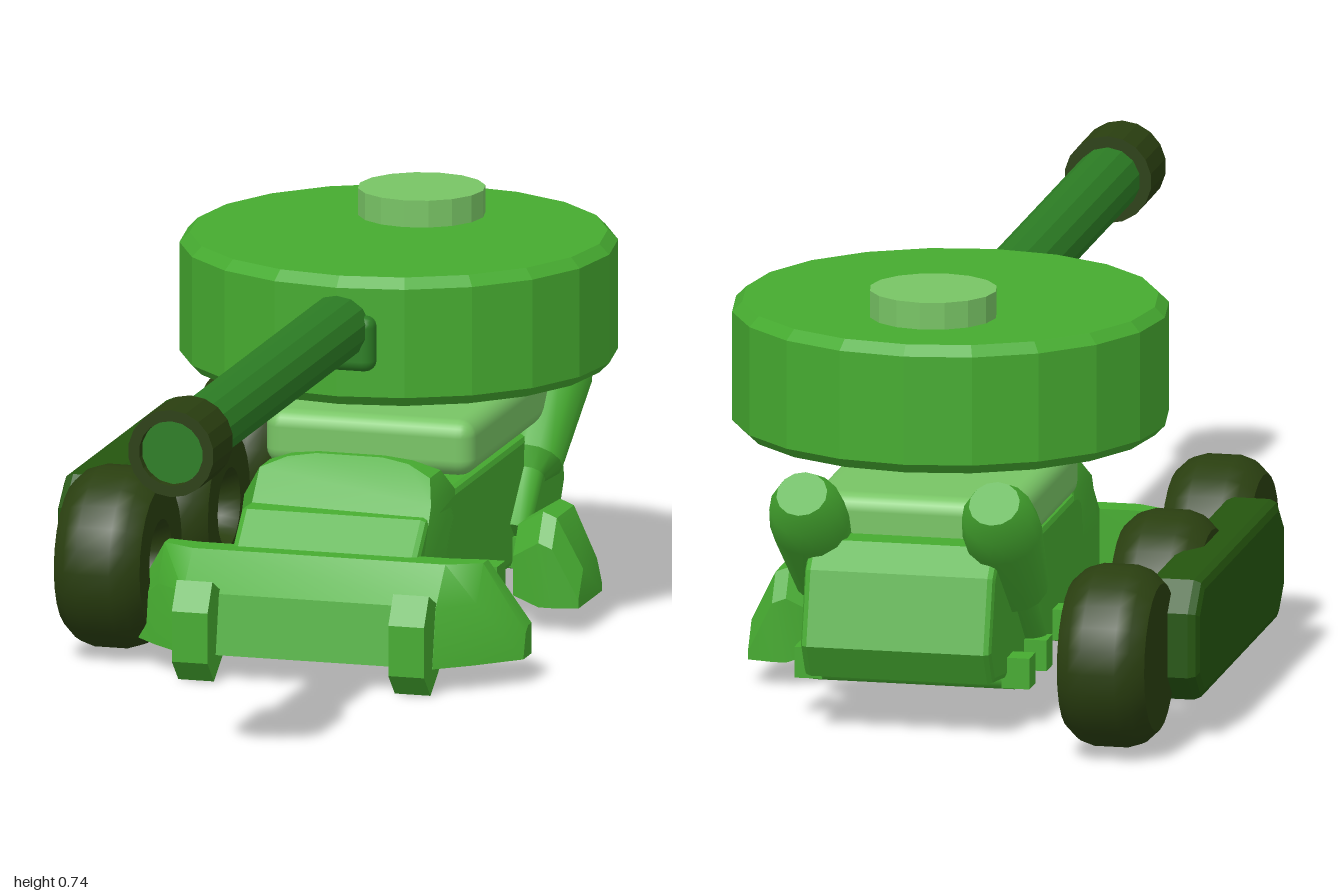
import * as THREE from 'three';
import { toCreasedNormals } from 'three/addons/utils/BufferGeometryUtils.js';
import { RoundedBoxGeometry } from 'three/addons/geometries/RoundedBoxGeometry.js';

const CX = 0.07; // centre line of the hull

const paint = (name, color) => {
  const m = new THREE.MeshStandardMaterial({ color });
  m.name = name;
  return m;
};

export function createModel() {
  const group = new THREE.Group();
  const green = paint('armour green', 0x46ab30);
  const light = paint('light green', 0x78c465);
  const barrelGreen = paint('barrel green', 0x2c7d24);
  const beamGreen = paint('beam green', 0x25560f);
  const dark = paint('dark olive', 0x2a3f10);

  const add = (name, geo, mat, x = 0, y = 0, z = 0) => {
    const mesh = new THREE.Mesh(geo, mat);
    mesh.name = name;
    mesh.position.set(x, y, z);
    group.add(mesh);
    return mesh;
  };
  const box = (name, mat, w, h, d, x, y, z) => add(name, new THREE.BoxGeometry(w, h, d), mat, x, y, z);
  // Turned part; crease angle decides between faceted and smooth
  const turned = (pts, sides, crease = 0.2) =>
    toCreasedNormals(new THREE.LatheGeometry(pts.map(p => new THREE.Vector2(...p)), sides), crease);
  // Outline in (z, y) extruded along x, centred on x = 0
  const slab = (pts, width, bevel = 0) => {
    const depth = width - 2 * bevel;
    const geo = new THREE.ExtrudeGeometry(new THREE.Shape(pts.map(p => new THREE.Vector2(...p))), {
      depth, bevelEnabled: bevel > 0, bevelSize: bevel, bevelOffset: -bevel, bevelThickness: bevel, bevelSegments: 2,
    });
    return geo.translate(0, 0, -depth / 2).rotateY(-Math.PI / 2);
  };
  // Skin over sections [x, ring of (z, y)], rings running back, top, front
  const loft = sections => {
    const pos = [];
    const put = (s, i) => {
      const [x, ring] = sections[s];
      const [z, y] = ring[i % ring.length];
      pos.push(x, y, z);
    };
    const n = sections[0][1].length, last = sections.length - 1;
    for (let s = 0; s < last; s++) for (let i = 0; i < n; i++) {
      put(s, i); put(s, i + 1); put(s + 1, i + 1);
      put(s, i); put(s + 1, i + 1); put(s + 1, i);
    }
    for (let i = 1; i < n - 1; i++) {
      put(0, 0); put(0, i + 1); put(0, i);
      put(last, 0); put(last, i); put(last, i + 1);
    }
    const geo = new THREE.BufferGeometry();
    geo.setAttribute('position', new THREE.Float32BufferAttribute(pos, 3));
    geo.computeVertexNormals();
    return toCreasedNormals(geo, 0.5);
  };

  // Turret, hatch and gun
  add('turret', turned([[0, 0.46], [0.365, 0.46], [0.383, 0.478], [0.383, 0.672], [0.365, 0.69], [0, 0.69]], 20), green, CX, 0, -0.4);
  add('hatch', turned([[0, 0.69], [0.112, 0.69], [0.112, 0.738], [0, 0.738]], 16), light, CX, 0, -0.54);
  add('barrel', turned([[0, -0.1], [0.058, -0.1], [0.058, 0.985], [0, 0.985]], 14).rotateX(Math.PI / 2), barrelGreen, CX, 0.6, 0);
  add('muzzle', turned([[0.056, 0.88], [0.078, 0.88], [0.078, 1], [0.058, 1], [0.058, 0.98]], 18).rotateX(Math.PI / 2), dark, CX, 0.6, 0);
  add('gunCollar', new RoundedBoxGeometry(0.14, 0.1, 0.06, 2, 0.02), barrelGreen, CX, 0.575, -0.03);

  // Deck below the turret
  add('deck', new RoundedBoxGeometry(0.38, 0.1, 0.5, 3, 0.03), light, CX, 0.35, -0.455);

  // Hull with a rounded tail
  add('hull', slab([[0.07, 0.09], [0.07, 0.2], [0, 0.27], [-0.17, 0.29], [-0.66, 0.29], [-0.72, 0.335], [-0.775, 0.335],
    [-0.82, 0.29], [-0.855, 0.16], [-0.82, 0.1], [-0.6, 0.07], [0.02, 0.07]], 0.34, 0.012), green, CX);

  // Sloping nose: front outline extruded, then its ends leaned back
  const outline = [[-0.17, 0.1], [0.17, 0.1], [0.17, 0.29], [0.155, 0.33], [0.11, 0.348], [0.06, 0.355],
    [-0.06, 0.355], [-0.11, 0.348], [-0.155, 0.33], [-0.17, 0.29]].map(p => new THREE.Vector2(...p));
  const nose = new THREE.ExtrudeGeometry(new THREE.Shape(outline), { depth: 1, bevelEnabled: false });
  const np = nose.attributes.position;
  for (let i = 0; i < np.count; i++) {
    const y = np.getY(i);
    np.setZ(i, np.getZ(i) > 0.5 ? 0.075 - Math.max(0, y - 0.2) * 1.1 : -0.17 + Math.max(0, y - 0.29) * 0.9);
  }
  nose.computeVertexNormals();
  add('nose', toCreasedNormals(nose, 0.5), green, CX);

  // Front plough with swept wings
  const half = [
    [0.23, [[0.04, 0.045], [0.04, 0.215], [0.09, 0.215], [0.15, 0.15], [0.17, 0.045]]],
    [0.29, [[0.02, 0.045], [0.03, 0.215], [0.06, 0.215], [0.1, 0.15], [0.12, 0.045]]],
    [0.36, [[0, 0.045], [0, 0.1], [0.02, 0.1], [0.035, 0.09], [0.05, 0.045]]],
  ];
  add('plough', loft([...half.map(([x, r]) => [-x, r]).reverse(), ...half]), green, CX);

  // Side fender
  const fender = (x, back, front, low, high) => [x, [[back, low], [back, high - 0.05], [back + 0.03, high],
    [front - 0.03, high], [front, high - 0.05], [front, low]]];
  add('sideFender', loft([fender(0.29, -0.49, -0.36, 0.06, 0.18), fender(0.34, -0.51, -0.345, 0.045, 0.21),
    fender(0.365, -0.51, -0.345, 0.045, 0.2), fender(0.41, -0.5, -0.355, 0.045, 0.11)]), green);

  // Cross bars under the hull with end blocks
  for (const z of [-0.17, -0.32, -0.55, -0.69]) {
    const rod = new THREE.CylinderGeometry(0.022, 0.022, 0.36, 10).rotateZ(Math.PI / 2);
    add('crossBar', rod, green, CX, 0.085, z);
    for (const side of [-1, 1]) box('barEnd', green, 0.05, 0.055, 0.05, CX + side * 0.185, 0.097, z);
  }
  box('bellyPlate', green, 0.24, 0.03, 0.4, CX, 0.065, -0.43);

  // Paired tow hooks and exhausts
  const hook = slab([[0.22, 0.04], [0.22, 0.13], [0.19, 0.18], [0.13, 0.15], [0.12, 0.04], [0.18, 0]], 0.065);
  const exhaust = turned([[0, 0], [0.03, 0], [0.03, 0.12], [0.055, 0.15], [0.07, 0.33], [0.063, 0.385], [0.045, 0.42], [0, 0.42]], 14, 0.6)
    .rotateX(-Math.PI / 4);
  for (const side of [-1, 1]) {
    add('towHook', hook, green, CX + side * 0.197);
    add('exhaust', exhaust, green, CX + side * 0.172, 0.13, -0.53);
  }

  // Wheels with a recessed inner hub, and their outer beam
  const wheel = turned([[0, -0.078], [0.08, -0.078], [0.13, -0.078], [0.152, -0.055], [0.16, -0.03], [0.16, 0.03],
    [0.152, 0.055], [0.13, 0.078], [0.07, 0.078], [0.055, 0.05], [0.055, 0.01], [0, 0.01]], 24, 0.7).rotateZ(-Math.PI / 2);
  for (const z of [0, -0.42, -0.84]) add('wheel', wheel, dark, -0.323, 0.17, z);
  add('wheelBeam', slab([[-0.06, 0.12], [-0.06, 0.235], [-0.11, 0.285], [-0.73, 0.285], [-0.78, 0.235],
    [-0.78, 0.12], [-0.73, 0.07], [-0.11, 0.07]].reverse(), 0.1, 0.018), beamGreen, -0.405);

  return group;
}
